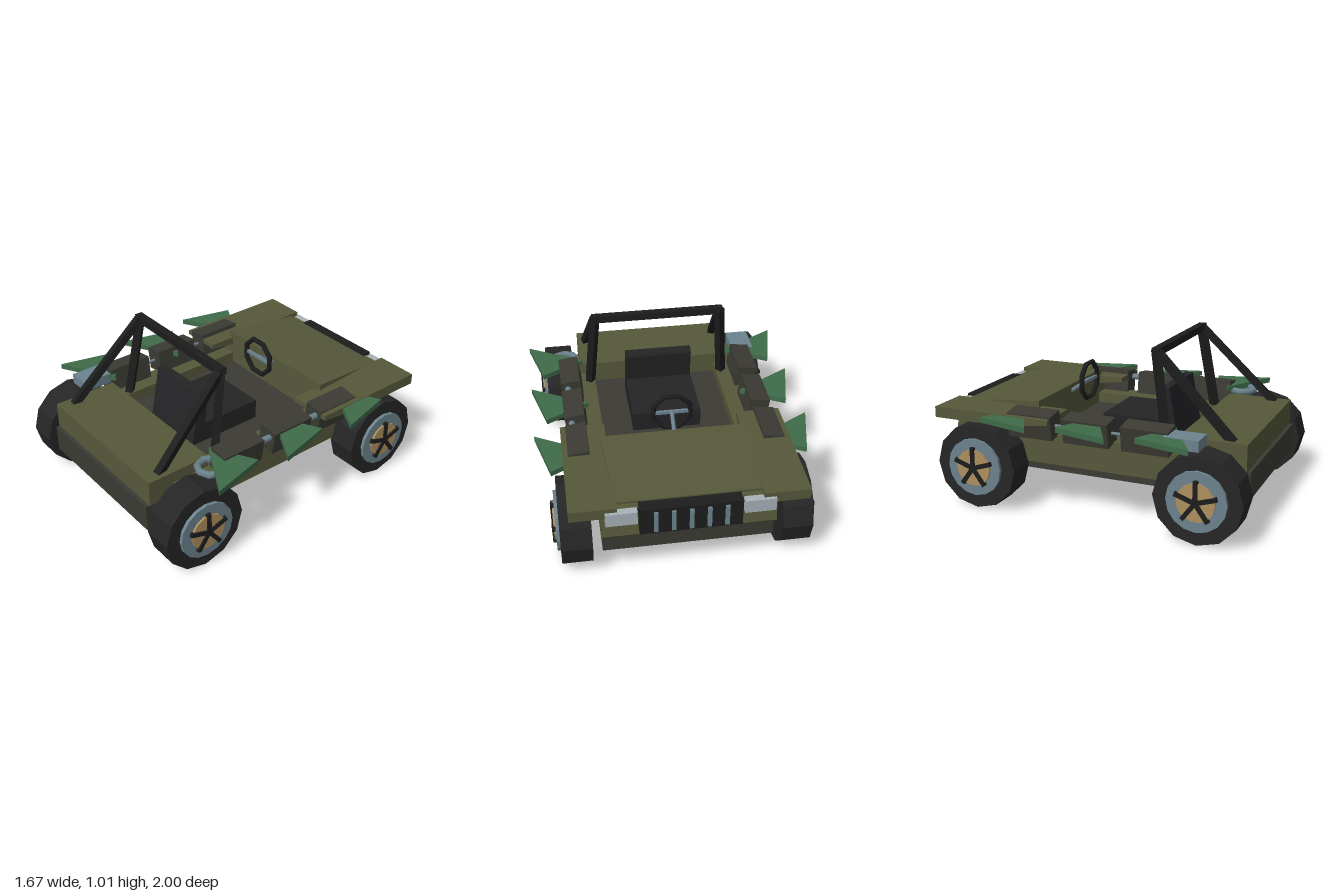
import * as THREE from 'three';

const mat = (name, color) => {
  const m = new THREE.MeshStandardMaterial({ color });
  m.name = name;
  return m;
};

export function createModel() {
  const olive = mat('olive paint', 0x56583a);
  const darkOlive = mat('dark grey canvas', 0x3b3a33);
  const tyreBlack = mat('tyre rubber', 0x262626);
  const black = mat('black metal', 0x1d1d1d);
  const seatGrey = mat('seat vinyl', 0x242426);
  const steel = mat('blue grey steel', 0x6c838e);
  const tan = mat('tan hub', 0xae8f5e);
  const green = mat('leaf green', 0x3f6b4a);
  const lamp = mat('lamp glass', 0xa9b2b8);

  const model = new THREE.Group();
  model.name = 'offRoadBuggy';

  const add = (name, geometry, material, parent = model) => {
    const mesh = new THREE.Mesh(geometry, material);
    mesh.name = name;
    parent.add(mesh);
    return mesh;
  };
  // Box given by its minimum and maximum on each axis
  const box = (name, material, [x0, x1], [y0, y1], [z0, z1], parent) => {
    const mesh = add(name, new THREE.BoxGeometry(x1 - x0, y1 - y0, z1 - z0), material, parent);
    mesh.position.set((x0 + x1) / 2, (y0 + y1) / 2, (z0 + z1) / 2);
    return mesh;
  };
  // Side profile of [z, y] points, extruded across x
  const sidePrism = (name, material, points, x0, x1) => {
    const shape = new THREE.Shape(points.map(([z, y]) => new THREE.Vector2(-z, y)));
    const geometry = new THREE.ExtrudeGeometry(shape, { depth: x1 - x0, bevelEnabled: false });
    geometry.rotateY(Math.PI / 2).translate(x0, 0, 0);
    return add(name, geometry, material);
  };
  // Plan outline of [x, z] points, extruded down from y1 to y0
  const flatPrism = (name, material, points, y0, y1) => {
    const shape = new THREE.Shape(points.map(([x, z]) => new THREE.Vector2(x, z)));
    const geometry = new THREE.ExtrudeGeometry(shape, { depth: y1 - y0, bevelEnabled: false });
    geometry.rotateX(Math.PI / 2).translate(0, y1, 0);
    return add(name, geometry, material);
  };
  // Square or round bar between two points
  const bar = (name, material, a, b, size, round = false) => {
    const start = new THREE.Vector3(...a), end = new THREE.Vector3(...b);
    const length = start.distanceTo(end);
    const geometry = round
      ? new THREE.CylinderGeometry(size / 2, size / 2, length, 8)
      : new THREE.BoxGeometry(size, length, size);
    const mesh = add(name, geometry, material);
    mesh.position.copy(start).add(end).multiplyScalar(0.5);
    mesh.quaternion.setFromUnitVectors(new THREE.Vector3(0, 1, 0), end.sub(start).normalize());
    return mesh;
  };

  // Chassis and body
  box('chassis', darkOlive, [-0.495, 0.495], [0.215, 0.38], [-0.9, 0.968]);
  box('cockpitFloor', darkOlive, [-0.41, 0.41], [0.37, 0.4], [-0.38, 0.54]);
  sidePrism('frontBody', olive,
    [[-0.375, 0.3], [-0.375, 0.56], [-0.945, 0.56], [-0.915, 0.52], [-0.94, 0.355], [-0.89, 0.3]], -0.5, 0.5);
  box('rearDeck', olive, [-0.5, 0.5], [0.38, 0.538], [0.54, 0.945]);

  // Hood, wider and higher at the cockpit end
  const hoodGeometry = new THREE.BoxGeometry(2, 1, 1);
  const p = hoodGeometry.attributes.position;
  for (let i = 0; i < p.count; i++) {
    const back = p.getZ(i) > 0, top = p.getY(i) > 0;
    p.setXYZ(i, p.getX(i) * (back ? 0.45 : 0.41), top ? (back ? 0.627 : 0.575) : 0.53, back ? -0.375 : -0.905);
  }
  hoodGeometry.computeVertexNormals();
  add('hood', hoodGeometry, olive);

  for (const s of [-1, 1]) {
    const span = (a, b) => (s > 0 ? [a, b] : [-b, -a]);

    // Side rail with a sloped tail, and the front fender
    sidePrism('sideRail', olive,
      [[-0.6, 0.278], [-0.6, 0.468], [0.78, 0.468], [0.9, 0.278]], ...span(0.41, 0.555));
    sidePrism('fender', olive,
      [[-0.967, 0.52], [-0.967, 0.587], [-0.2, 0.587], [-0.2, 0.557], [-0.48, 0.52]], ...span(0.41, 0.677));

    // Strapped bags and the leaves tucked behind them
    for (const z of [-0.343, 0.02, 0.388]) {
      const bag = add('sideBag', new THREE.BoxGeometry(0.125, 0.148, 0.288), darkOlive);
      bag.position.set(s * 0.573, 0.53, z);
      bag.rotation.z = -s * 0.14;
    }
    for (const z of [-0.493, 0, 0.488]) {
      flatPrism('leaf', green,
        [[s * 0.485, z + 0.035], [s * 0.75, z - 0.11], [s * 0.833, z + 0.23]], 0.55, 0.583);
    }

    // Headlight
    box('headlight', lamp, span(0.3, 0.478), [0.475, 0.56], [-0.985, -0.94]);

    // Roll frame legs and rear struts
    bar('rollFrameLeg', black, [s * 0.4, 1.0, 0.363], [s * 0.447, 0.42, 0.458], 0.047);
    bar('rollFrameStrut', black, [s * 0.4, 0.995, 0.365], [s * 0.45, 0.525, 0.85], 0.044);
  }
  box('rollFrameTop', black, [-0.42, 0.42], [0.968, 1.012], [0.343, 0.389]);

  // Grille with five slats
  box('grille', black, [-0.29, 0.29], [0.395, 0.57], [-0.985, -0.91]);
  for (let i = -2; i <= 2; i++) {
    box('grilleSlat', steel, [i * 0.1 - 0.012, i * 0.1 + 0.012], [0.415, 0.55], [-1, -0.98]);
  }

  // Seat
  box('seatCushion', seatGrey, [-0.215, 0.215], [0.39, 0.525], [-0.055, 0.4]);
  sidePrism('seatBack', seatGrey,
    [[0.355, 0.4], [0.315, 0.71], [0.323, 0.73], [0.375, 0.73], [0.438, 0.4]], -0.213, 0.213);

  // Steering wheel and column
  const wheelRing = new THREE.TorusGeometry(0.12, 0.016, 6, 8);
  wheelRing.rotateZ(Math.PI / 8);
  add('steeringWheel', wheelRing, black).position.set(0, 0.668, -0.25);
  bar('steeringColumn', steel, [0, 0.58, -0.38], [0, 0.672, -0.252], 0.026, true);
  box('steeringSpoke', steel, [-0.115, 0.115], [0.658, 0.678], [-0.258, -0.242]);

  // Gear on the sides: tubes, can and coiled ring
  bar('sideTube', steel, [0.6, 0.555, -0.25], [0.6, 0.555, 0.3], 0.04, true);
  bar('thinSideTube', steel, [-0.575, 0.53, -0.25], [-0.575, 0.53, 0.3], 0.02, true);
  box('storageCan', steel, [-0.677, -0.533], [0.52, 0.585], [0.513, 0.722]);
  const coil = new THREE.TorusGeometry(0.078, 0.022, 6, 8);
  coil.rotateX(Math.PI / 2);
  add('coiledRing', coil, steel).position.set(0.6, 0.548, 0.595);

  // Wheels: tyre, rim, hub disc and five spokes
  const disc = (name, material, radius, sides, x0, x1, parent) => {
    const geometry = new THREE.CylinderGeometry(radius, radius, x1 - x0, sides).toNonIndexed();
    geometry.rotateZ(-Math.PI / 2).translate((x0 + x1) / 2, 0, 0);
    geometry.computeVertexNormals();
    return add(name, geometry, material, parent);
  };
  for (const s of [-1, 1]) {
    for (const z of [-0.66, 0.738]) {
      const wheel = new THREE.Group();
      wheel.name = 'wheel';
      disc('tyre', tyreBlack, 0.262, 12, -0.09, 0.09, wheel);
      disc('rim', steel, 0.177, 16, 0.05, 0.11, wheel);
      disc('hubDisc', tan, 0.113, 14, 0.1, 0.122, wheel);
      for (let i = 0; i < 5; i++) {
        const spoke = new THREE.BoxGeometry(0.02, 0.128, 0.026);
        spoke.translate(0.122, 0.064, 0).rotateX((i * Math.PI * 2) / 5);
        add('wheelSpoke', spoke, black, wheel);
      }
      wheel.position.set(s * 0.64, 0.262, z);
      if (s < 0) wheel.rotation.y = Math.PI;
      model.add(wheel);
    }
  }
  return model;
}
